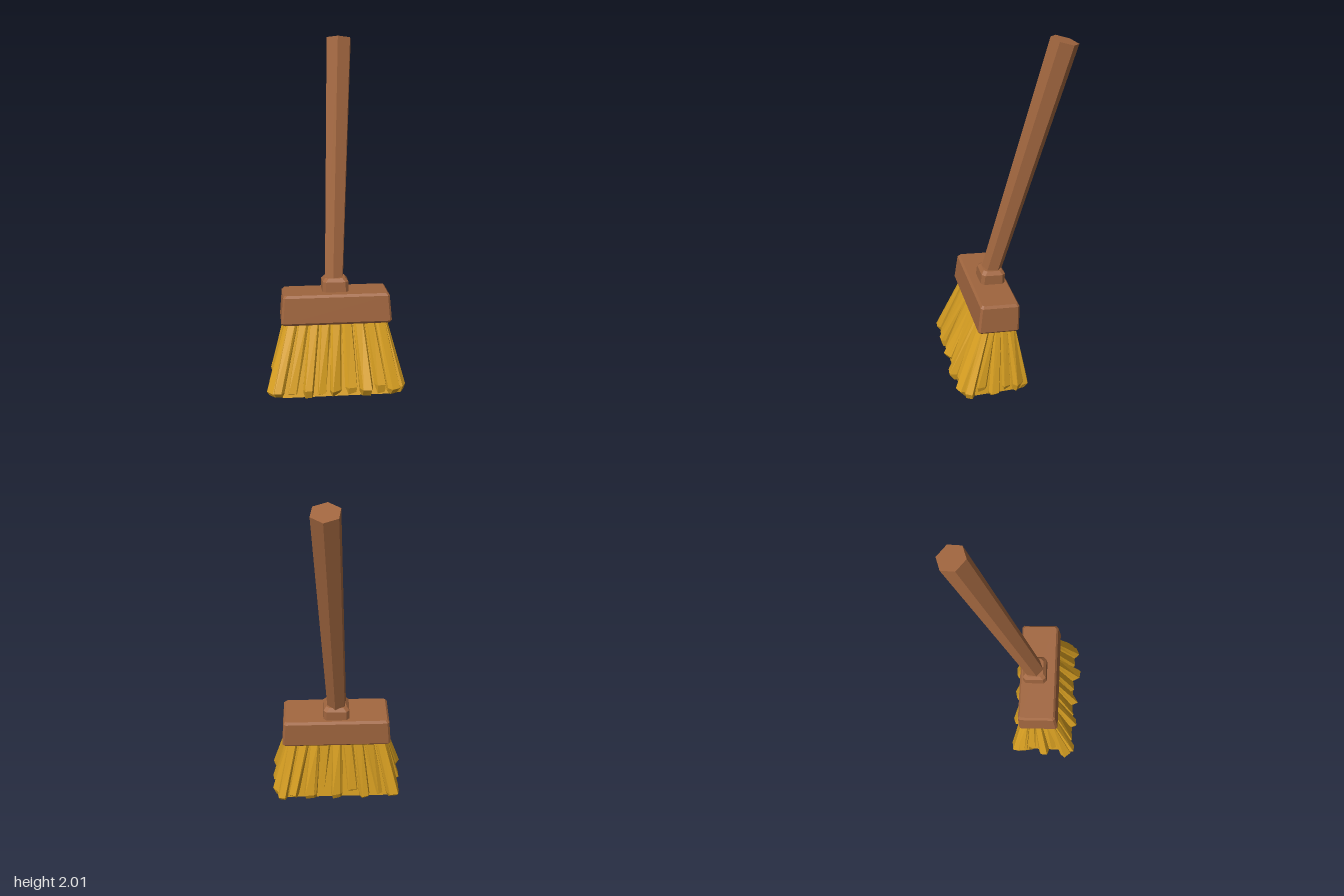
import * as THREE from 'three';

const wood = new THREE.MeshStandardMaterial({ color: 0xa1663f, flatShading: true });
wood.name = 'brown wood';
const straw = new THREE.MeshStandardMaterial({ color: 0xd9a022, flatShading: true });
straw.name = 'golden straw';

// Skin a stack of rings (top to bottom, counterclockwise from above), with end caps.
function loft(rings) {
  const pos = [];
  const tri = (...pts) => pts.forEach((p) => pos.push(...p));
  const n = rings[0].length;
  for (let r = 0; r < rings.length - 1; r++) {
    const a = rings[r], b = rings[r + 1];
    for (let i = 0; i < n; i++) {
      const j = (i + 1) % n;
      tri(b[i], b[j], a[j]);
      tri(b[i], a[j], a[i]);
    }
  }
  const top = rings[0], bottom = rings[rings.length - 1];
  for (let i = 1; i < n - 1; i++) {
    tri(top[0], top[i], top[i + 1]);
    tri(bottom[0], bottom[i + 1], bottom[i]);
  }
  const g = new THREE.BufferGeometry();
  g.setAttribute('position', new THREE.Float32BufferAttribute(pos, 3));
  g.computeVertexNormals();
  return g;
}

// Rectangle with cut corners: half sizes a, b, cut c, shifted by dz.
const rectRing = (y, a, b, c, dz = 0) => [
  [a, b - c], [a, c - b], [a - c, -b], [c - a, -b],
  [-a, c - b], [-a, b - c], [c - a, b], [a - c, b],
].map(([x, z]) => [x, y, z + dz]);

function addMesh(parent, name, geometry, material) {
  const m = new THREE.Mesh(geometry, material);
  m.name = name;
  parent.add(m);
  return m;
}

let seed = 11;
const rand = (a, b) => {
  seed = (seed * 16807) % 2147483647;
  return a + (b - a) * (seed / 2147483647);
};

// One bristle clump from [x, z] at the block to [x, z] on the floor, facing normal n.
function tuft(from, to, n, wTop, wLow, dTop, dLow) {
  const t = [n[1], -n[0]];
  const ring = (p, y, w, d, skew) => [
    [-w, -0.3 * d], [-0.65 * w, 0], [0.65 * w, skew], [w, -0.3 * d], [w, -d], [-w, -d],
  ].map(([s, o]) => [p[0] + t[0] * s + n[0] * o, y, p[1] + t[1] * s + n[1] * o]);
  const back = rand(0.008, 0.03), lift = rand(0.015, 0.06), skew = rand(-0.025, 0.01);
  const k = 1 - lift / 0.41;
  const knee = [from[0] + (to[0] - from[0]) * k, from[1] + (to[1] - from[1]) * k];
  const foot = [knee[0] - n[0] * back, knee[1] - n[1] * back];
  return loft([
    ring(from, 0.41, wTop, dTop, 0),
    ring(knee, lift, wLow, dLow, skew),
    ring(foot, 0, wLow * 0.9, dLow, skew),
  ]);
}

export function createModel() {
  const model = new THREE.Group();
  model.name = 'broom';

  // Head, turned diagonally
  const head = new THREE.Group();
  head.name = 'head';
  head.position.set(-0.02, 0, -0.04);
  head.rotation.y = 0.953;
  model.add(head);

  // Wooden block and collar, tipped slightly
  const block = addMesh(head, 'block', loft([
    rectRing(0.088, 0.297, 0.102, 0.01),
    rectRing(0.074, 0.309, 0.113, 0.012),
    rectRing(-0.074, 0.321, 0.121, 0.012),
    rectRing(-0.088, 0.309, 0.111, 0.01),
  ]), wood);
  block.position.y = 0.478;
  block.rotation.x = -0.07;
  const collar = addMesh(block, 'collar', loft([
    rectRing(0.166, 0.058, 0.054, 0.018),
    rectRing(0.146, 0.075, 0.07, 0.018),
    rectRing(0.08, 0.077, 0.073, 0.018),
  ]), wood);
  collar.position.z = -0.018;

  // Solid straw core
  const bristles = new THREE.Group();
  bristles.name = 'bristles';
  head.add(bristles);
  addMesh(bristles, 'bristleCore', loft([
    rectRing(0.41, 0.28, 0.085, 0.02),
    rectRing(0, 0.355, 0.175, 0.04, 0.05),
  ]), straw);

  // Clumps along both long sides
  for (const s of [1, -1]) {
    const count = 9;
    for (let i = 0; i < count; i++) {
      const t = (i / (count - 1)) * 2 - 1;
      const out = (s > 0 ? 0.262 : -0.158) + s * (i % 2 ? -0.022 : 0.01) + rand(-0.015, 0.015);
      const n = new THREE.Vector2(t * 0.3 + rand(-0.15, 0.15), s).normalize();
      addMesh(bristles, 'sideClump', tuft(
        [t * 0.26, s * 0.1], [t * 0.355 + rand(-0.015, 0.015), out], [n.x, n.y],
        0.031, rand(0.03, 0.04), 0.05, 0.1), straw);
    }
  }

  // Clumps across both ends
  for (const s of [1, -1]) {
    for (let i = 0; i < 5; i++) {
      const t = i / 2 - 1;
      const out = s * (0.385 + (i % 2 ? -0.02 : 0.015) + rand(-0.012, 0.012));
      const n = new THREE.Vector2(s, t * 0.35 + rand(-0.15, 0.15)).normalize();
      addMesh(bristles, 'endClump', tuft(
        [s * 0.29, t * 0.075], [out, 0.045 + t * 0.165], [n.x, n.y],
        0.022, rand(0.028, 0.038), 0.05, 0.09), straw);
    }
  }

  // Leaning six-sided handle, wider at the top
  const low = new THREE.Vector3(-0.038, 0.58, -0.046);
  const high = new THREE.Vector3(-0.312, 1.984, -0.32);
  const axis = high.clone().sub(low);
  const handle = addMesh(model, 'handle',
    new THREE.CylinderGeometry(0.079, 0.058, axis.length(), 6, 1, false, Math.PI / 4), wood);
  handle.position.copy(low).add(high).multiplyScalar(0.5);
  handle.quaternion.setFromUnitVectors(new THREE.Vector3(0, 1, 0), axis.normalize());

  return model;
}
